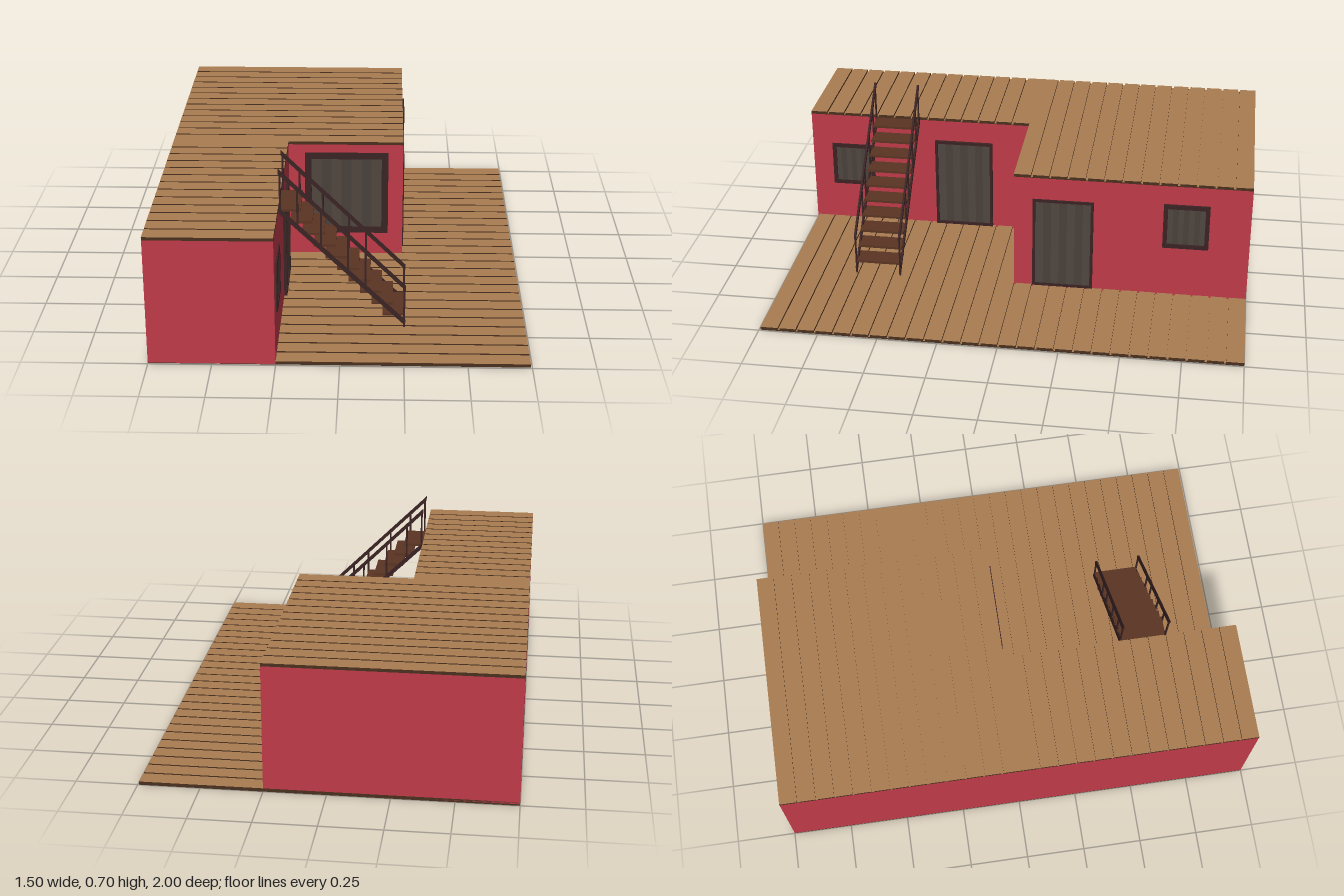
import * as THREE from 'three';

const mat = (name, color, side = THREE.FrontSide) => {
  const m = new THREE.MeshStandardMaterial({ color, side });
  m.name = name;
  return m;
};

export function createModel() {
  const red = mat('red wall', 0xbf3b48);
  const tan = mat('tan planks', 0xa97c50);
  const dark = mat('dark plank edge', 0x4a2f1f);
  const brown = mat('brown treads', 0x5a3423);
  const frameMat = mat('dark frame', 0x3a2324);
  const glass = mat('window glass', 0x50463f);
  const glassDark = mat('window glass shade', 0x4a403a);
  const timber = [dark, dark, tan, dark, dark, dark]; // tan only on top

  const house = new THREE.Group();
  house.name = 'house';

  const group = (name, parent = house) => {
    const g = new THREE.Group();
    g.name = name;
    parent.add(g);
    return g;
  };

  // Box given by its lower and upper limits on each axis
  const box = (parent, name, material, x0, x1, y0, y1, z0, z1) => {
    const m = new THREE.Mesh(new THREE.BoxGeometry(x1 - x0, y1 - y0, z1 - z0), material);
    m.position.set((x0 + x1) / 2, (y0 + y1) / 2, (z0 + z1) / 2);
    m.name = name;
    parent.add(m);
    return m;
  };

  // Row of planks running along x, separated by narrow grooves
  const GAP = 0.009;
  const planks = (parent, name, x0, x1, y0, y1, z0, z1, count) => {
    const pitch = (z1 - z0) / count;
    for (let i = 0; i < count; i++) {
      const a = z0 + i * pitch + (i ? GAP / 2 : 0);
      const b = z0 + (i + 1) * pitch - (i < count - 1 ? GAP / 2 : 0);
      box(parent, name, timber, x0, x1, y0, y1, a, b);
    }
  };

  // Deck
  const deck = group('deck');
  box(deck, 'deckBase', timber, -0.75, 0.745, 0, 0.005, -1, 0.993);
  planks(deck, 'deckPlank', -0.749, 0.745, 0.005, 0.014, -1, 0.993, 26);

  // Walls of the L-shaped house
  const walls = group('walls');
  box(walls, 'longWing', red, -0.75, -0.25, 0.006, 0.532, -1, 1);
  box(walls, 'sideWing', red, -0.25, 0.25, 0.006, 0.532, -1, 0);

  // Roof terrace
  const roof = group('roof');
  box(roof, 'roofBaseBack', timber, -0.75, 0.25, 0.532, 0.536, -1, 0);
  box(roof, 'roofBaseFront', timber, -0.75, -0.25, 0.532, 0.536, 0, 1);
  planks(roof, 'roofPlank', -0.75, 0.25, 0.536, 0.545, -1, 0, 13);
  planks(roof, 'roofPlank', -0.75, -0.25, 0.536, 0.545, 0, 1, 13);

  // Framed pane facing +z in its own space: w by h, frame width f, depth d
  const opening = (name, w, h, f, d) => {
    const g = group(name);
    box(g, 'frameTop', frameMat, -w / 2, w / 2, h / 2 - f, h / 2, 0, d);
    box(g, 'frameBottom', frameMat, -w / 2, w / 2, -h / 2, -h / 2 + f, 0, d);
    for (const s of [-1, 1]) {
      const c = s * (w / 2 - f / 2);
      box(g, 'frameSide', frameMat, c - f / 2, c + f / 2, -h / 2 + f, h / 2 - f, 0, d);
    }
    const n = 7, pw = (w - 2 * f) / n;
    for (let i = 0; i < n; i++) {
      const x = -w / 2 + f + i * pw;
      box(g, 'pane', i % 2 ? glassDark : glass, x, x + pw, -h / 2 + f, h / 2 - f, 0, d * 0.4);
    }
    return g;
  };

  opening('largeWindow', 0.365, 0.38, 0.029, 0.006).position.set(0.003, 0.305, 0);

  // Openings on the walls that face +x: x, z limits, y limits, frame, depth
  const sideOpenings = [
    ['frontWindow', -0.25, 0.715, 0.91, 0.187, 0.39, 0.018, 0.006],
    ['frontDoor', -0.25, 0.168, 0.43, 0.014, 0.435, 0.012, 0.013],
    ['backDoor', 0.25, -0.34, -0.08, 0.014, 0.433, 0.012, 0.006],
    ['backWindow', 0.25, -0.828, -0.634, 0.244, 0.448, 0.018, 0.011],
  ];
  for (const [name, x, z0, z1, y0, y1, f, d] of sideOpenings) {
    const g = opening(name, z1 - z0, y1 - y0, f, d);
    g.rotation.y = Math.PI / 2;
    g.position.set(x, (y0 + y1) / 2, (z0 + z1) / 2);
  }

  // Outside stair
  const stair = group('stair');
  for (let i = 0; i < 10; i++) {
    const x = -0.207 + i * 0.0462, y = 0.527 - i * 0.0508;
    box(stair, 'tread', brown, x - 0.043, x + 0.045, y - 0.005, y + 0.005, 0.504, 0.696);
  }

  // Sloping beam with upright ends
  const X0 = -0.25, X1 = 0.258;
  const beam = (name, yTop, yEnd, h, z, t) => {
    const s = new THREE.Shape([
      new THREE.Vector2(X0, yTop - h), new THREE.Vector2(X1, yEnd - h),
      new THREE.Vector2(X1, yEnd), new THREE.Vector2(X0, yTop),
    ]);
    const m = new THREE.Mesh(new THREE.ExtrudeGeometry(s, { depth: t, bevelEnabled: false }), frameMat);
    m.position.z = z - t / 2;
    m.name = name;
    stair.add(m);
  };
  for (const z of [0.503, 0.697]) {
    beam('stringer', 0.54, 0.045, 0.024, z, 0.008);
    beam('handrail', 0.703, 0.2, 0.02, z, 0.009);
    for (const x of [-0.243, -0.175, -0.082, 0.025, 0.095, 0.253]) {
      const k = (x - X0) / (X1 - X0);
      const low = x > 0.25 ? 0.014 : 0.525 - k * 0.495;
      box(stair, 'railPost', frameMat, x - 0.004, x + 0.004, low, 0.69 - k * 0.503, z - 0.003, z + 0.003);
    }
  }

  return house;
}
